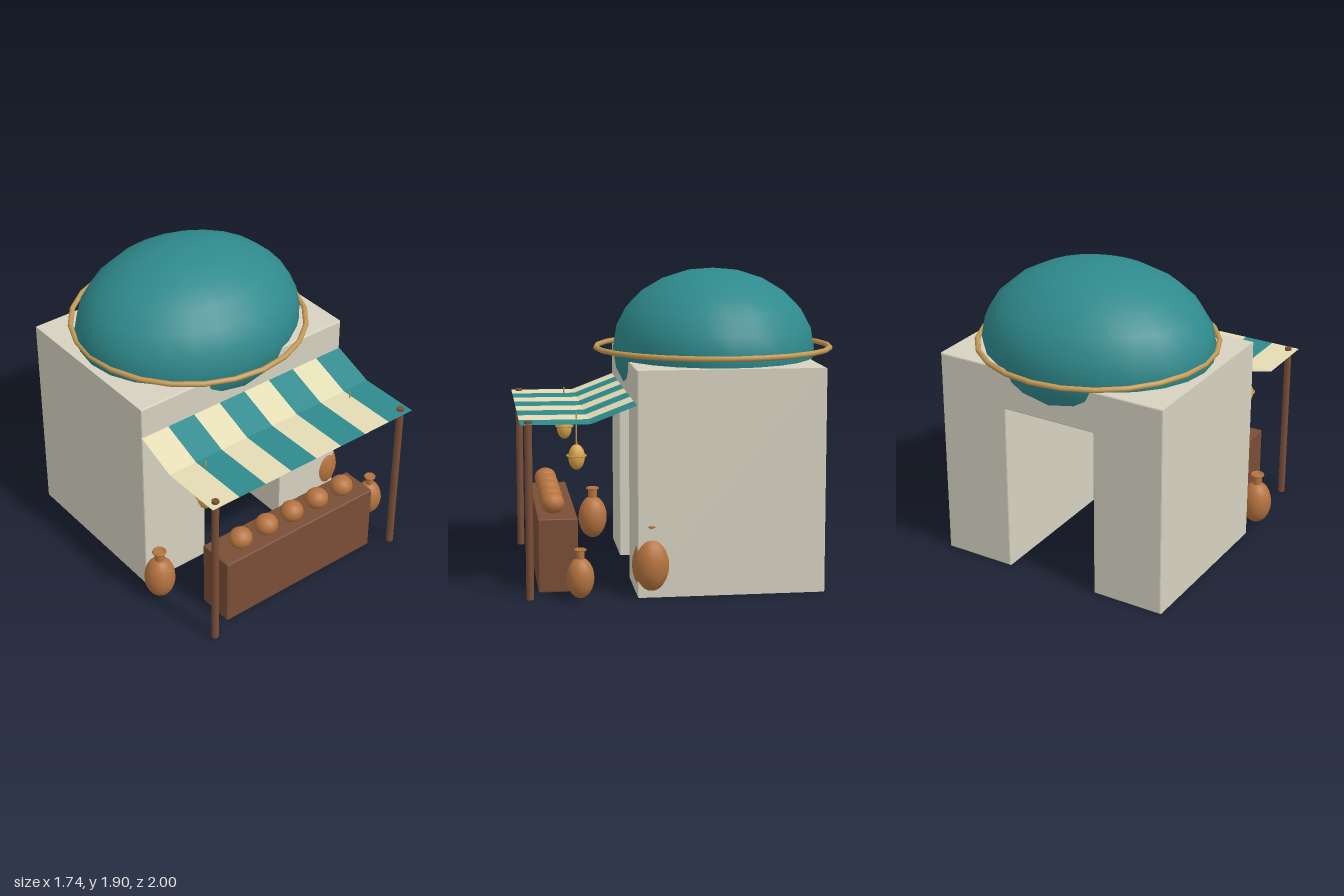
import * as THREE from 'three';
import { RoundedBoxGeometry } from 'three/addons/geometries/RoundedBoxGeometry.js';

const CX = -0.005; // shared centre line
const mat = (color, extra = {}) => new THREE.MeshStandardMaterial({ color, ...extra });
const stone = mat(0xd6d1c0), teal = mat(0x2f8a8d), brass = mat(0xc49a55);
const wood = mat(0x7a4e37), clay = mat(0xb5733f), lamp = mat(0xdca648);
const clothA = mat(0xe3dcb4, { side: THREE.DoubleSide, flatShading: true });
const clothB = mat(0x2f8a8d, { side: THREE.DoubleSide, flatShading: true });

function add(parent, name, geometry, material, x = 0, y = 0, z = 0) {
  const mesh = new THREE.Mesh(geometry, material);
  mesh.name = name;
  mesh.position.set(x, y, z);
  parent.add(mesh);
  return mesh;
}

function subgroup(parent, name, x, y, z) {
  const g = new THREE.Group();
  g.name = name;
  g.position.set(x, y, z);
  parent.add(g);
  return g;
}

const ring = (radius, tube, sides, segments) =>
  new THREE.TorusGeometry(radius, tube, sides, segments).rotateX(Math.PI / 2);

// Block with a straight passage from front to back
function buildingGeometry() {
  const b = 0.008, w = 0.775 - b, h = 1.355 - b, o = 0.308 + b, top = 1.09 + b;
  const shape = new THREE.Shape([
    [-w, b], [-o, b], [-o, top], [o, top], [o, b], [w, b], [w, h], [-w, h],
  ].map(([x, y]) => new THREE.Vector2(x, y)));
  const depth = 1.13 - 2 * b;
  return new THREE.ExtrudeGeometry(shape, {
    depth, bevelEnabled: true, bevelSize: b, bevelThickness: b, bevelSegments: 2,
  }).translate(0, 0, -depth / 2);
}

// One cloth strip: steep by the wall, almost level towards the posts
function stripeGeometry(width) {
  const profile = [[0.31, 1.155], [0.59, 1.048], [1.0, 1.05]];
  const g = new THREE.PlaneGeometry(width, 1, 1, profile.length - 1);
  const p = g.attributes.position;
  for (let i = 0; i < p.count; i++) {
    const [z, y] = profile[Math.floor(i / 2)];
    p.setXYZ(i, p.getX(i), y, z);
  }
  g.computeVertexNormals();
  return g;
}

function addPot(parent, x, z, scale) {
  const pot = subgroup(parent, 'pot', x, 0, z);
  pot.scale.setScalar(scale);
  add(pot, 'potBody', new THREE.SphereGeometry(0.097, 16, 12).scale(1, 1.48, 1), clay, 0, 0.165, 0);
  add(pot, 'potNeck', new THREE.CylinderGeometry(0.03, 0.03, 0.09, 12), clay, 0, 0.32, 0);
  add(pot, 'potRim', ring(0.037, 0.008, 6, 16), clay, 0, 0.362, 0);
}

function addLantern(parent, x) {
  const lantern = subgroup(parent, 'lantern', x, 0.82, 0.66);
  add(lantern, 'lanternBody', new THREE.SphereGeometry(0.05, 12, 10).scale(1, 1.55, 1), lamp);
  add(lantern, 'lanternRing', ring(0.056, 0.006, 6, 16), brass, 0, 0.008, 0);
  add(lantern, 'lanternRod', new THREE.CylinderGeometry(0.005, 0.005, 0.2, 6), brass, 0, 0.17, 0);
}

export function createModel() {
  const model = new THREE.Group();
  model.name = 'marketStall';

  // Building with its dome and band
  add(model, 'building', buildingGeometry(), stone, CX, 0, -0.245);
  const dome = new THREE.SphereGeometry(1, 24, 12).scale(0.745, 0.495, 0.632);
  add(model, 'dome', dome, teal, CX, 1.408, -0.245);
  add(model, 'domeBand', ring(0.738, 0.017, 8, 24), brass, CX, 1.41, -0.245);

  // Striped awning
  const awning = subgroup(model, 'awning', CX, 0, 0);
  const stripes = 8, width = 1.55 / stripes;
  for (let i = 0; i < stripes; i++) {
    add(awning, 'awningStripe', stripeGeometry(width), i % 2 ? clothB : clothA,
      (i - (stripes - 1) / 2) * width, 0, 0);
  }

  // Posts and lanterns, one on each side
  for (const side of [-1, 1]) {
    add(model, 'awningPost', new THREE.CylinderGeometry(0.023, 0.023, 1.065, 8), wood,
      CX + side * 0.721, 0.5325, 0.952);
    addLantern(model, CX + side * 0.565);
  }

  // Counter with a row of round wares
  add(model, 'counter', new RoundedBoxGeometry(1.165, 0.45, 0.24, 2, 0.008), wood, CX, 0.225, 0.776);
  for (let i = -2; i <= 2; i++) {
    add(model, 'roundWare', new THREE.SphereGeometry(0.075, 14, 10).scale(1, 0.89, 0.97), clay,
      CX + i * 0.203, 0.513, 0.797);
  }

  // Pots standing around the stall
  addPot(model, -0.775, 0.46, 1);
  addPot(model, 0.788, 0.66, 0.85);
  addPot(model, 0.723, 0.235, 1.176);

  return model;
}
